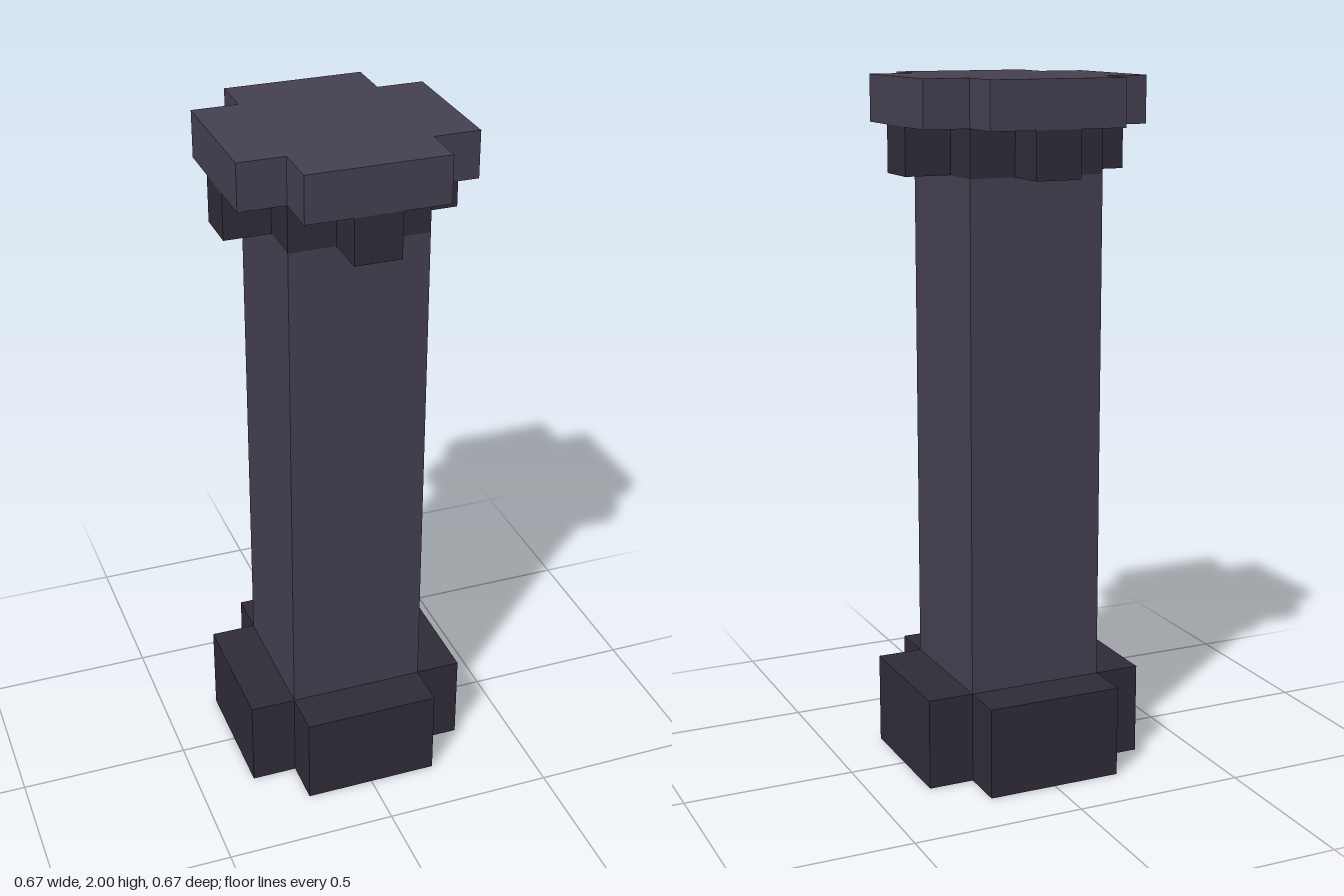
import * as THREE from 'three';

const U = 1 / 15; // block unit
const ARM = 5 * U, HALF = 3 * U;

const light = new THREE.MeshStandardMaterial({ color: 0x454052, flatShading: true });
const dark = new THREE.MeshStandardMaterial({ color: 0x302c38, flatShading: true });

// Plus-shaped slab standing between two heights
function crossSlab(name, y0, y1, material) {
  const shape = new THREE.Shape();
  for (let i = 0; i < 4; i++) {
    const c = Math.round(Math.cos(i * Math.PI / 2)), s = Math.round(Math.sin(i * Math.PI / 2));
    for (const [x, y] of [[ARM, -HALF], [ARM, HALF], [HALF, HALF]]) {
      const px = x * c - y * s, py = x * s + y * c;
      if (i === 0 && y < 0) shape.moveTo(px, py);
      else shape.lineTo(px, py);
    }
  }
  shape.closePath();
  const geometry = new THREE.ExtrudeGeometry(shape, { depth: y1 - y0, bevelEnabled: false });
  geometry.rotateX(-Math.PI / 2).translate(0, y0, 0);
  const mesh = new THREE.Mesh(geometry, material);
  mesh.name = name;
  return mesh;
}

// Box standing between two heights
function block(name, w, d, y0, y1, material) {
  const mesh = new THREE.Mesh(new THREE.BoxGeometry(w, y1 - y0, d), material);
  mesh.position.y = (y0 + y1) / 2;
  mesh.name = name;
  return mesh;
}

export function createModel() {
  const pillar = new THREE.Group();
  pillar.name = 'pillar';

  // Base, shaft, dark collar and cap, stacked
  pillar.add(
    crossSlab('base', 0, 4 * U, dark),
    block('shaft', 2 * HALF, 2 * HALF, 4 * U, 26 * U, light),
    block('collar', 2 * HALF, 2 * HALF, 26 * U, 28 * U, dark),
    crossSlab('cap', 28 * U, 30 * U, light)
  );

  // One bracket under each arm of the cap
  for (let i = 0; i < 4; i++) {
    const a = i * Math.PI / 2;
    const bracket = block('bracket', 2 * U, 2 * U, 26 * U, 28 * U, dark);
    bracket.position.x = Math.sin(a) * 4 * U;
    bracket.position.z = Math.cos(a) * 4 * U;
    pillar.add(bracket);
  }
  return pillar;
}
